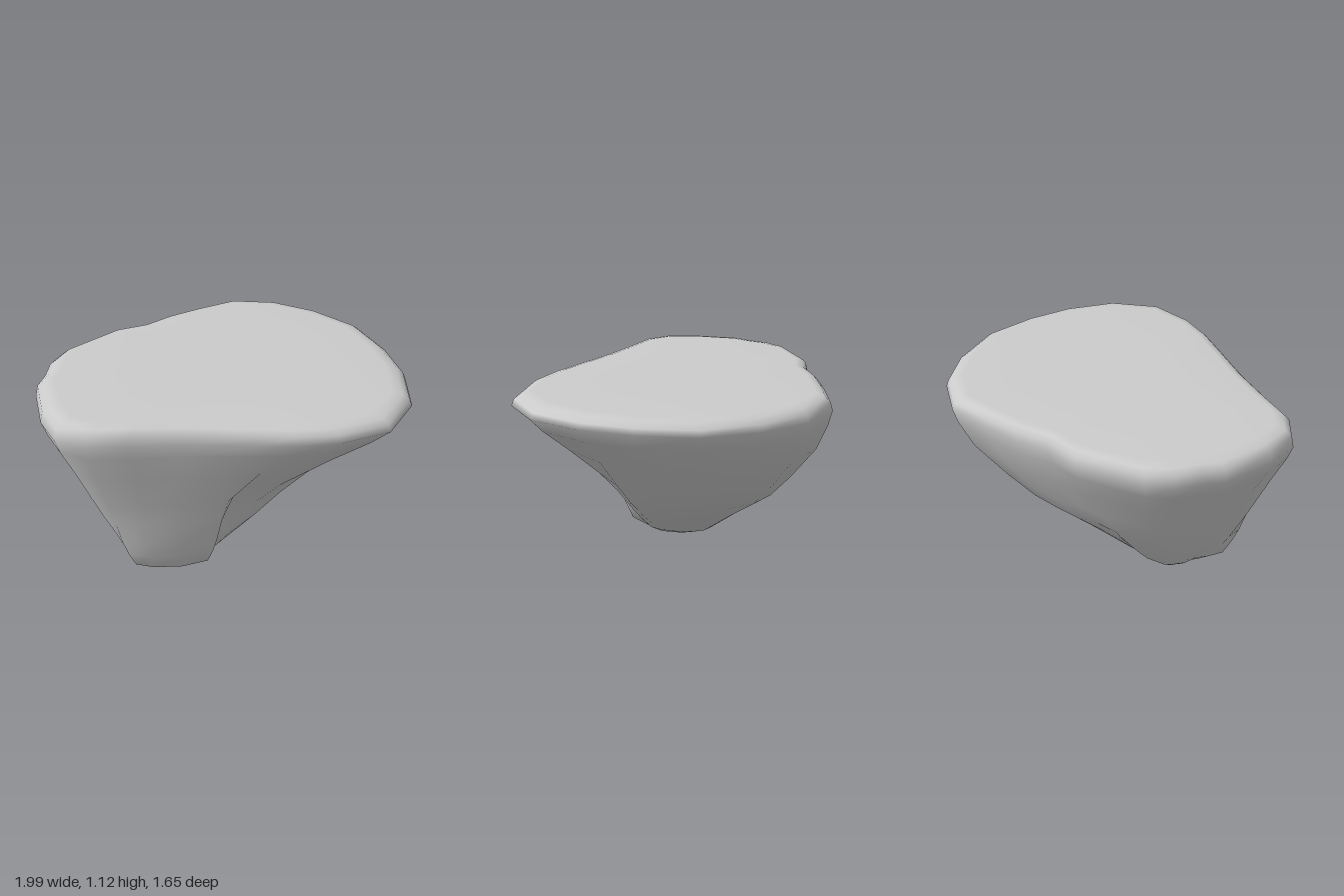
import * as THREE from 'three';

// rim outline seen from above, as x, z, running from +x through +z
const RIM = [
  [0.99, 0], [0.98, 0.28], [0.89, 0.57], [0.68, 0.78], [0.40, 0.82], [0.18, 0.79],
  [0, 0.74], [-0.33, 0.645], [-0.6, 0.59], [-0.82, 0.55], [-0.95, 0.45], [-1, 0.26],
  [-1, -0.02], [-0.95, -0.12], [-0.91, -0.25], [-0.82, -0.37], [-0.5, -0.565], [-0.31, -0.6],
  [-0.14, -0.69], [0.06, -0.76], [0.31, -0.83], [0.56, -0.75], [0.77, -0.57], [0.94, -0.31],
];
const TIP = [-0.33, 0.2];

// slope profiles: how far from tip to rim the wall has reached at each height
const HEIGHTS = [0, 0.04, 0.1, 0.2, 0.3, 0.45, 0.6, 0.8, 0.95];
const right = [0.04, 0.13, 0.22, 0.34, 0.45, 0.60, 0.72, 0.86, 0.96];
const hollow = [0.06, 0.15, 0.22, 0.28, 0.33, 0.40, 0.52, 0.74, 0.92];
const leg = [0.12, 0.40, 0.58, 0.65, 0.70, 0.75, 0.80, 0.90, 0.97];
const left = [0.08, 0.21, 0.30, 0.40, 0.49, 0.61, 0.72, 0.85, 0.96];
const back = [0.03, 0.15, 0.26, 0.37, 0.48, 0.66, 0.78, 0.92, 0.98];

// profile used at each rim index, blended in between
const KEYS = [[0, right], [3.5, hollow], [4.5, hollow], [7, leg], [8, leg], [11, left],
  [15, left], [18, back], [20, back], [24, right]];

function reach(i, level) {
  const k = KEYS.findIndex(([at], n) => n > 0 && i <= at);
  const [a, pa] = KEYS[k - 1], [b, pb] = KEYS[k];
  const t = THREE.MathUtils.smoothstep(i, a, b);
  return pa[level] + (pb[level] - pa[level]) * t;
}

// rounded lip and nearly flat top: height, scale of the rim
const LIP = [[1.03, 1], [1.075, 0.985], [1.1, 0.95], [1.11, 0.89], [1.112, 0.5], [1.112, 0]];

function rockGeometry() {
  const n = RIM.length, pos = [], index = [];
  // underside and walls
  RIM.forEach(() => pos.push(TIP[0], 0, TIP[1]));
  HEIGHTS.forEach((y, level) => RIM.forEach(([x, z], i) => {
    const f = reach(i, level);
    pos.push(TIP[0] + (x - TIP[0]) * f, y, TIP[1] + (z - TIP[1]) * f);
  }));
  // lip and top, tilted slightly down towards +x
  LIP.forEach(([y, s], j) => RIM.forEach(([x, z]) => {
    pos.push(x * s, y - (j ? 0.015 * x * s : 0), z * s);
  }));
  const rings = pos.length / 3 / n;
  for (let j = 0; j < rings - 1; j++) {
    for (let i = 0; i < n; i++) {
      const a = j * n + i, b = j * n + (i + 1) % n, c = a + n, d = b + n;
      if (j > 0) index.push(a, c, b);
      if (j < rings - 2) index.push(b, c, d);
    }
  }
  const g = new THREE.BufferGeometry();
  g.setAttribute('position', new THREE.Float32BufferAttribute(pos, 3));
  g.setIndex(index);
  g.computeVertexNormals();
  return g;
}

export function createModel() {
  const group = new THREE.Group();
  const rock = new THREE.Mesh(rockGeometry(), new THREE.MeshStandardMaterial({ color: 0xcccccc }));
  rock.name = 'floatingRock';
  group.add(rock);
  return group;
}
